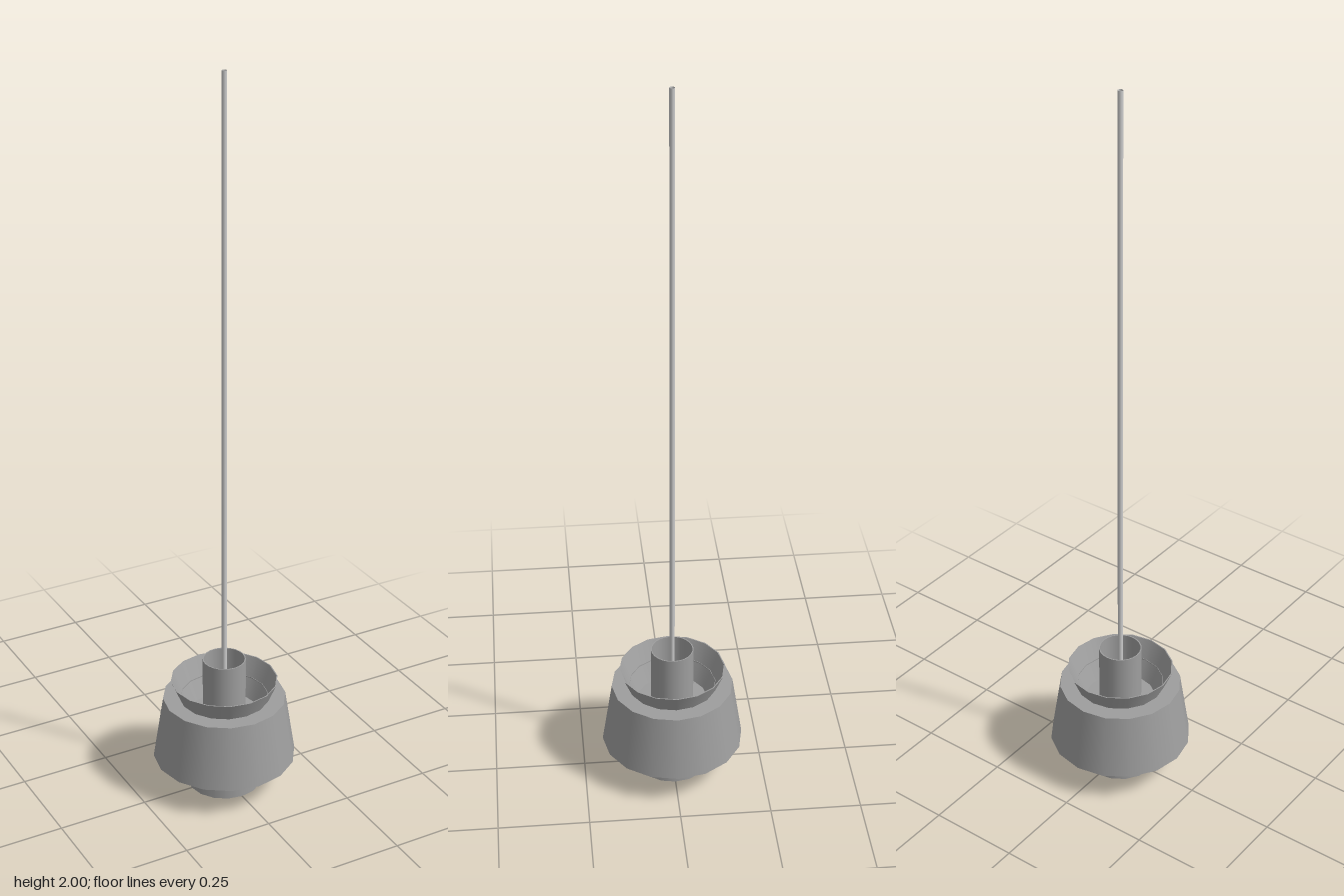
import * as THREE from 'three';
import { mergeGeometries } from 'three/addons/utils/BufferGeometryUtils.js';

const shadeMaterial = new THREE.MeshStandardMaterial({ color: 0x9e9e9e, side: THREE.DoubleSide });
const rodMaterial = new THREE.MeshStandardMaterial({ color: 0xcccccc, side: THREE.DoubleSide });

// Revolves each profile segment on its own, so corners stay crisp and the round stays smooth.
function revolve(name, profile, sides = 16) {
  const bands = [];
  for (let i = 0; i < profile.length - 1; i++) {
    const points = [profile[i], profile[i + 1]].map(([r, y]) => new THREE.Vector2(r, y));
    bands.push(new THREE.LatheGeometry(points, sides));
  }
  const mesh = new THREE.Mesh(mergeGeometries(bands), shadeMaterial);
  mesh.name = name;
  return mesh;
}

export function createModel() {
  const lamp = new THREE.Group();
  lamp.name = 'pendantLamp';

  // Lower sleeve, open at the bottom
  lamp.add(revolve('lowerSleeve', [
    [0.1, 0], [0.103, 0], [0.099, 0.212], [0.096, 0.212], [0.1, 0],
  ]));

  // Plate closing the sleeve, with a round hole in the middle
  lamp.add(revolve('sleevePlate', [[0.099, 0.215], [0.0345, 0.215]], 32));

  // Wide main shade with a flat shoulder
  lamp.add(revolve('mainShade', [
    [0.193, 0.089], [0.197, 0.089], [0.169, 0.27], [0.12, 0.27],
    [0.12, 0.267], [0.166, 0.267], [0.193, 0.089],
  ]));

  // Flared upper shade
  lamp.add(revolve('upperShade', [
    [0.1, 0.213], [0.147, 0.323], [0.144, 0.323], [0.098, 0.216],
  ]));

  // Socket cup, open at the top
  lamp.add(revolve('socketCup', [
    [0.059, 0.215], [0.059, 0.386], [0.056, 0.386], [0.056, 0.215],
  ], 24));

  // Long thin hanging tube
  const rod = new THREE.Mesh(new THREE.CylinderGeometry(0.007, 0.007, 1.78, 12, 1, true), rodMaterial);
  rod.position.y = 1.11;
  rod.name = 'hangingRod';
  lamp.add(rod);

  return lamp;
}
